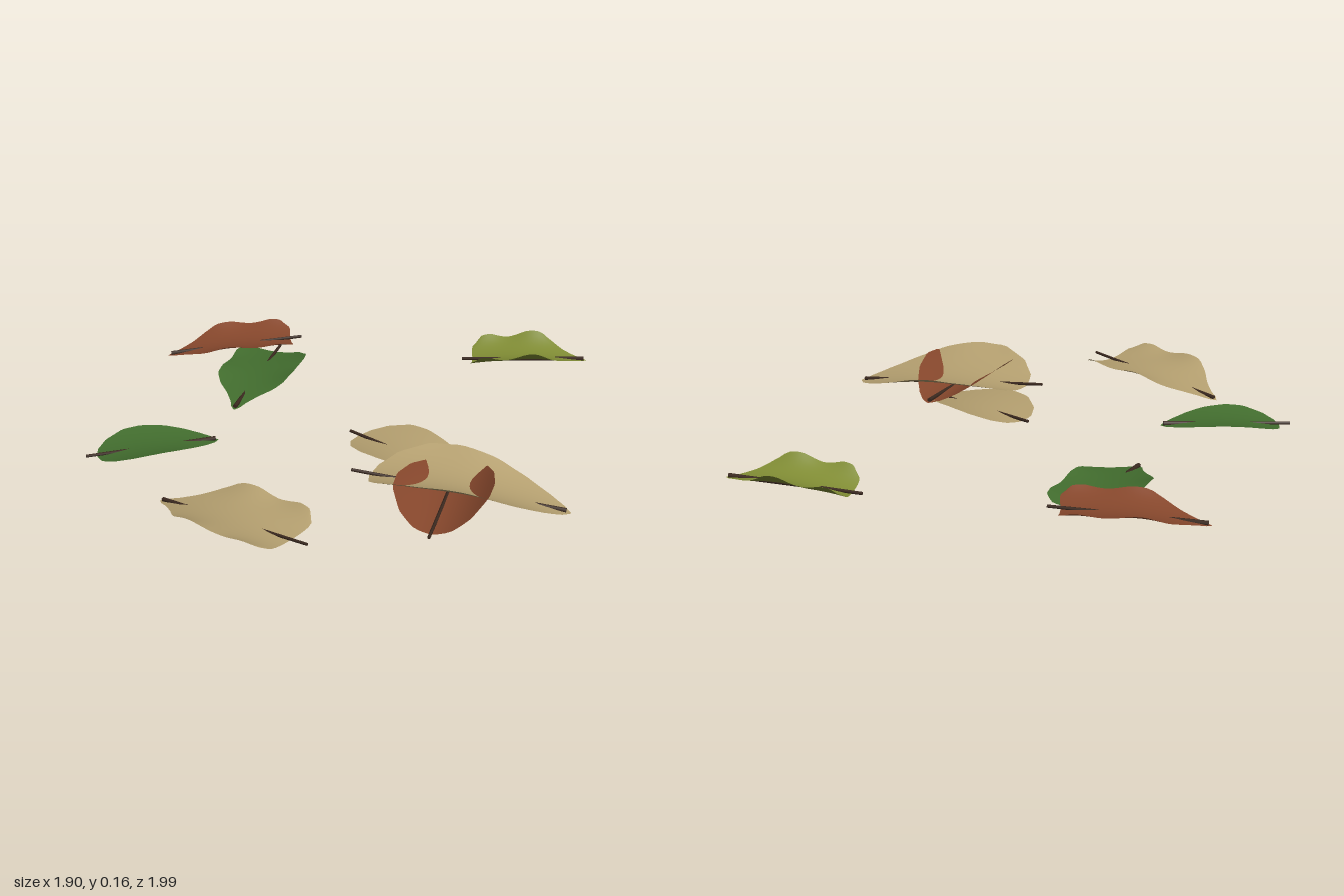
import * as THREE from 'three';

const paint = (name, color, side = THREE.FrontSide) => {
  const m = new THREE.MeshStandardMaterial({ color, side });
  m.name = name;
  return m;
};

// Half-width outlines along the blade, as [t, halfWidth / length], stem end to tip
const EGG = [[0, 0], [0.02, 0.11], [0.1, 0.21], [0.25, 0.285], [0.4, 0.29], [0.6, 0.25], [0.75, 0.19], [0.88, 0.115], [0.96, 0.055], [1, 0]];
const POINTED = [[0, 0.22], [0.05, 0.26], [0.15, 0.275], [0.3, 0.265], [0.45, 0.275], [0.6, 0.265], [0.7, 0.21], [0.8, 0.125], [0.9, 0.06], [0.96, 0.035], [1, 0]];

function widthAt(outline, t) {
  let i = 1;
  while (i < outline.length - 1 && t > outline[i][0]) i++;
  const [t0, w0] = outline[i - 1], [t1, w1] = outline[i];
  return w0 + (w1 - w0) * (t - t0) / (t1 - t0);
}

// Blade: a plane bent into an arched, cupped sheet between base and tip
function bladeGeometry({ base, tip, outline, arch, cup, roll = 0, wave = 0, width = 1 }) {
  const dx = tip.x - base.x, dz = tip.z - base.z;
  const geo = new THREE.PlaneGeometry(2, 1, 14, 40);
  const pos = geo.attributes.position;
  const p = new THREE.Vector3();
  for (let i = 0; i < pos.count; i++) {
    const v = pos.getX(i), s = pos.getY(i) + 0.5;
    const t = (1 - Math.cos(Math.PI * s)) / 2; // rows closer together at the ends
    const w = widthAt(outline, t) * width;
    const a = v * w / (0.28 * width);
    p.lerpVectors(base, tip, t);
    // blunt bases get a shallow notch and rounded corners
    const notch = outline === POINTED ? (1 - t) ** 8 * (0.05 * v ** 8 - 0.025 * v * v) : 0;
    p.x += -dz * v * w + dx * notch;
    p.z += dx * v * w + dz * notch;
    p.y += arch * Math.sin(Math.PI * t) + cup * a * a + roll * a
      + wave * Math.sin(t * 13 + 0.8) * Math.abs(a) ** 3;
    pos.setXYZ(i, p.x, Math.max(p.y, 0.002), p.z);
  }
  geo.computeVertexNormals();
  return geo;
}

// Straight tapered rib between two points
function ribGeometry(from, to) {
  const dir = to.clone().sub(from);
  const geo = new THREE.CylinderGeometry(0.009, 0.006, dir.length(), 6);
  geo.applyQuaternion(new THREE.Quaternion().setFromUnitVectors(new THREE.Vector3(0, 1, 0), dir.normalize()));
  const mid = from.clone().add(to).multiplyScalar(0.5);
  return geo.translate(mid.x, mid.y, mid.z);
}

export function createModel() {
  const side = THREE.DoubleSide;
  const tan = paint('dryTan', 0xb5a070, side);
  const rust = paint('rust', 0x86472c, side);
  const green = paint('green', 0x426d2e, side);
  const olive = paint('olive', 0x808c34, side);
  const bark = paint('darkBrown', 0x3c2a20);

  // base and tip are [x, y, z]
  const leaves = [
    { name: 'rustBackLeaf', mat: rust, base: [-0.31, 0.065, -0.86], tip: [-0.82, 0.015, -0.76], outline: POINTED, arch: 0.02, cup: 0.035, wave: 0.008 },
    { name: 'greenBackLeaf', mat: green, base: [-0.36, 0.04, -0.78], tip: [-0.47, 0.012, -0.245], outline: POINTED, arch: 0.022, cup: 0.018, wave: 0.006 },
    { name: 'oliveLeaf', mat: olive, base: [0.465, 0.025, -0.795], tip: [0.94, 0.045, -0.79], outline: POINTED, arch: 0.02, cup: 0.055, wave: 0.012 },
    { name: 'greenOvalLeaf', mat: green, base: [-0.92, 0.035, 0.265], tip: [-0.48, 0.05, 0.11], outline: EGG, arch: 0.02, cup: 0.02 },
    { name: 'tanFrontLeaf', mat: tan, base: [-0.12, 0.05, 0.89], tip: [-0.63, 0.015, 0.56], outline: POINTED, arch: 0.025, cup: 0.04, wave: 0.01, width: 1.04, stem: 0.13 },
    { name: 'tanSmallLeaf', mat: tan, base: [0.05, 0.05, 0.03], tip: [0.5, 0.02, 0.34], outline: EGG, arch: 0.02, cup: 0.025, stem: 0.07 },
    { name: 'tanBigLeaf', mat: tan, base: [0.12, 0.07, 0.4], tip: [0.86, 0.002, 0.51], outline: EGG, arch: 0.03, cup: 0.065, roll: 0.018, wave: 0.004, width: 1.03 },
    { name: 'rustUnderLeaf', mat: rust, base: [0.365, 0.03, 0.765], tip: [0.465, 0.05, 0.155], outline: EGG, arch: 0.012, cup: 0.075, stem: 0.06 },
  ];

  const model = new THREE.Group();
  model.name = 'fallenLeaves';
  for (const { name, mat, stem = 0.09, ...shape } of leaves) {
    const base = new THREE.Vector3(...shape.base), tip = new THREE.Vector3(...shape.tip);
    const leaf = new THREE.Group();
    leaf.name = name;
    const blade = new THREE.Mesh(bladeGeometry({ ...shape, base, tip }), mat);
    blade.name = 'blade';
    // the rib sits just above the blade at both ends and under its arch between
    const lift = new THREE.Vector3(0, 0.008, 0);
    const from = base.clone().lerp(tip, -stem).add(lift);
    const to = base.clone().lerp(tip, 0.975).add(lift);
    const rib = new THREE.Mesh(ribGeometry(from, to), bark);
    rib.name = 'stem';
    leaf.add(blade, rib);
    model.add(leaf);
  }
  return model;
}
